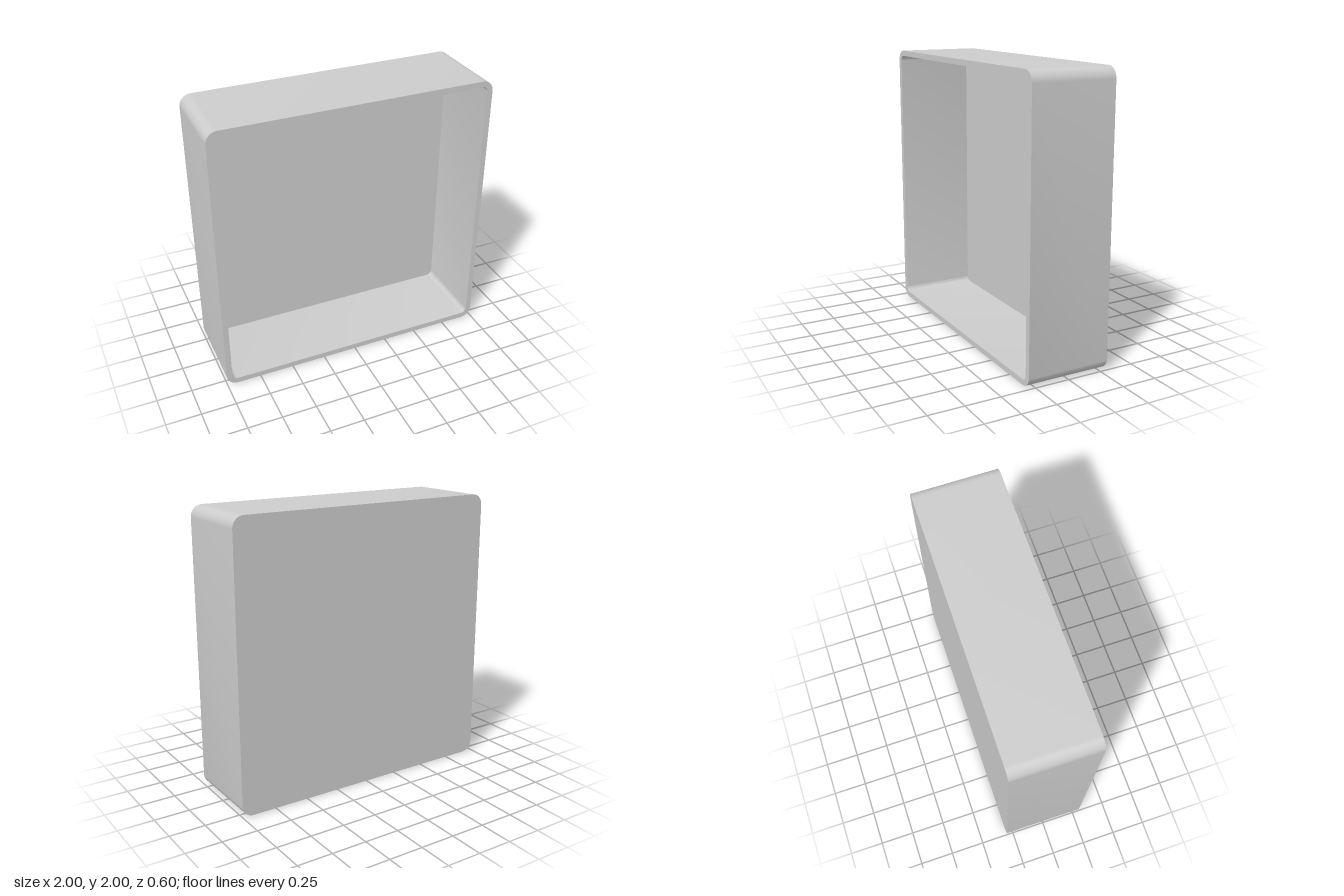
import * as THREE from 'three';
import { toCreasedNormals } from 'three/addons/utils/BufferGeometryUtils.js';

const HALF = 1, FRONT = 0.3, WALL = 0.04, RADIUS = 0.08;

// Rounded square centred on the origin, counter-clockwise
function roundedSquare(half, r) {
  const shape = new THREE.Shape();
  const c = half - r;
  [[c, c], [-c, c], [-c, -c], [c, -c]].forEach(([x, y], i) =>
    shape.absarc(x, y, r, i * Math.PI / 2, (i + 1) * Math.PI / 2, false));
  return shape;
}

// Skin consecutive closed outlines, each placed at its own depth
function loft(sections) {
  const pos = [];
  for (let s = 0; s < sections.length - 1; s++) {
    const [a, za] = sections[s], [b, zb] = sections[s + 1];
    for (let i = 0; i < a.length; i++) {
      const j = (i + 1) % a.length;
      const a0 = [a[i].x, a[i].y, za], a1 = [a[j].x, a[j].y, za];
      const b0 = [b[i].x, b[i].y, zb], b1 = [b[j].x, b[j].y, zb];
      pos.push(...a0, ...a1, ...b1, ...a0, ...b1, ...b0);
    }
  }
  const geo = new THREE.BufferGeometry();
  geo.setAttribute('position', new THREE.Float32BufferAttribute(pos, 3));
  return toCreasedNormals(geo, Math.PI / 6);
}

export function createModel() {
  const group = new THREE.Group();
  group.name = 'openBox';
  const material = new THREE.MeshStandardMaterial({ color: 0xcccccc });
  const add = (name, geo) => {
    const mesh = new THREE.Mesh(geo, material);
    mesh.name = name;
    mesh.position.y = HALF;
    group.add(mesh);
  };

  const outer = roundedSquare(HALF, RADIUS);
  const inner = roundedSquare(HALF - WALL, RADIUS - WALL);
  const outerLoop = outer.getPoints(6).slice(0, -1);
  const innerLoop = inner.getPoints(6).slice(0, -1);

  // Outer walls, front rim and inner walls
  add('walls', loft([
    [outerLoop, -FRONT], [outerLoop, FRONT],
    [innerLoop, FRONT], [innerLoop, -FRONT + WALL],
  ]));

  // Two faces of the back panel
  add('backPanelInside', new THREE.ShapeGeometry(inner, 6).translate(0, 0, -FRONT + WALL));
  add('backPanelOutside', new THREE.ShapeGeometry(outer, 6).rotateY(Math.PI).translate(0, 0, -FRONT));
  return group;
}
